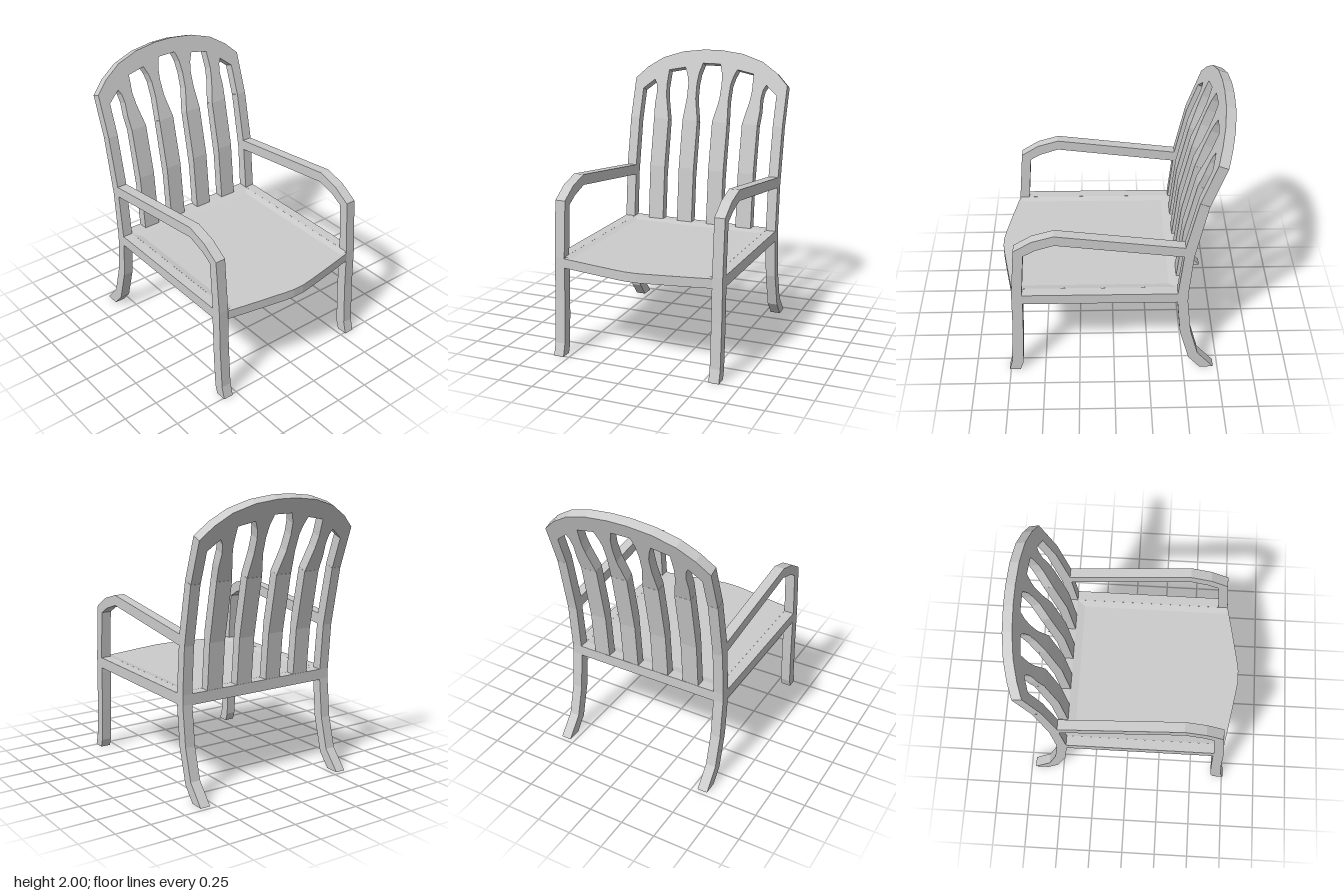
import * as THREE from 'three';

const material = new THREE.MeshStandardMaterial({ color: 0xcccccc, flatShading: true });

function addMesh(group, name, geometry) {
  const mesh = new THREE.Mesh(geometry, material);
  mesh.name = name;
  group.add(mesh);
  return mesh;
}

const extrude = (points, depth) => new THREE.ExtrudeGeometry(
  new THREE.Shape(points.map(([x, y]) => new THREE.Vector2(x, y))),
  { depth, bevelEnabled: false });

// Side profile (x, y) given a thickness across z, centred on zCentre
const sideSlab = (points, width, zCentre) =>
  extrude(points, width).translate(0, 0, zCentre - width / 2);

function box(x0, x1, y0, y1, z0, z1) {
  return new THREE.BoxGeometry(x1 - x0, y1 - y0, z1 - z0)
    .translate((x0 + x1) / 2, (y0 + y1) / 2, (z0 + z1) / 2);
}

const backPost = [
  [-0.72, 0], [-0.62, 0], [-0.535, 0.1], [-0.465, 0.35], [-0.437, 0.64], [-0.437, 0.71],
  [-0.475, 1.12], [-0.55, 1.48], [-0.615, 1.455], [-0.535, 1.04], [-0.51, 0.71],
  [-0.51, 0.64], [-0.54, 0.36], [-0.6, 0.14],
];
const slat = [
  [-0.505, 0.68], [-0.437, 0.68], [-0.437, 0.71], [-0.475, 1.12],
  [-0.55, 1.48], [-0.615, 1.455], [-0.535, 1.04],
];
const armAndLeg = [
  [-0.48, 1.04], [-0.46, 1.04], [0.4, 1.15], [0.53, 1.107], [0.61, 1.06], [0.637, 0.71],
  [0.635, 0.6], [0.645, 0.3], [0.66, 0.06], [0.68, 0], [0.76, 0], [0.735, 0.09],
  [0.716, 0.4], [0.708, 0.71], [0.675, 1.1], [0.55, 1.18], [0.4, 1.225],
  [-0.475, 1.115], [-0.5, 1.11],
];

// Half of the crest's front face: scalloped lower edge with slat necks, then the arch
const crestHalf = [
  [0.07, 1.9], [0.092, 1.83], [0.1, 1.75], [0.095, 1.64], [0.06, 1.48],
  [0.18, 1.48], [0.167, 1.64], [0.17, 1.75], [0.185, 1.81], [0.21, 1.865],
  [0.34, 1.84], [0.345, 1.72], [0.335, 1.64], [0.297, 1.48],
  [0.417, 1.48], [0.424, 1.58], [0.42, 1.67], [0.43, 1.73], [0.45, 1.765],
  [0.537, 1.695], [0.537, 1.48], [0.61, 1.48],
  [0.61, 1.77], [0.52, 1.855], [0.4, 1.93], [0.24, 1.98], [0.07, 2],
];

// Flat comb-shaped plate leaned back to follow the upper posts
function crestGeometry() {
  const mirrored = crestHalf.map(([z, y]) => [-z, y]).reverse();
  const thickness = 0.07;
  const geometry = extrude([...crestHalf, ...mirrored], thickness);
  const p = geometry.attributes.position;
  for (let i = 0; i < p.count; i++) {
    const u = p.getX(i), y = p.getY(i), d = thickness - p.getZ(i);
    p.setXYZ(i, -0.55 - (y - 1.48) * 0.346 - 0.94 * d, y - 0.34 * d, -u);
  }
  geometry.computeVertexNormals();
  return geometry;
}

// Shallow sloping rim on three sides of the seat
function seatRimGeometry() {
  const outer = [[0.71, 0.537], [-0.437, 0.537], [-0.437, -0.537], [0.71, -0.537]];
  const inner = [[0.69, 0.49], [-0.38, 0.49], [-0.38, -0.49], [0.69, -0.49]];
  const positions = [], index = [];
  outer.forEach(([x, z], i) => {
    positions.push(x, 0.712, z, inner[i][0], 0.701, inner[i][1]);
    if (i < 3) {
      const a = 2 * i;
      index.push(a, a + 1, a + 2, a + 1, a + 3, a + 2);
    }
  });
  const geometry = new THREE.BufferGeometry();
  geometry.setAttribute('position', new THREE.Float32BufferAttribute(positions, 3));
  geometry.setIndex(index);
  const flat = geometry.toNonIndexed();
  flat.computeVertexNormals();
  return flat;
}

export function createModel() {
  const chair = new THREE.Group();
  chair.name = 'armchair';

  // Sides: posts, arms with front legs, and seat rails
  for (const [side, s] of [['left', 1], ['right', -1]]) {
    const z = s * 0.574;
    addMesh(chair, side + 'BackPost', sideSlab(backPost, 0.073, z));
    addMesh(chair, side + 'ArmAndFrontLeg', sideSlab(armAndLeg, 0.073, z));
    addMesh(chair, side + 'SeatRail', box(-0.46, 0.66, 0.635, 0.712, z - 0.0365, z + 0.0365));
  }

  // Back: slats and arched crest
  for (const z of [-0.357, -0.12, 0.12, 0.357]) {
    addMesh(chair, 'backSlat', sideSlab(slat, 0.12, z));
  }
  addMesh(chair, 'backCrest', crestGeometry());

  // Seat: back rail, bowed panel and sloping rim
  addMesh(chair, 'backSeatRail', box(-0.51, -0.437, 0.635, 0.712, -0.54, 0.54));
  const front = [[0.71, 0.538], [0.737, 0.4], [0.765, 0.25], [0.79, 0.11], [0.8, 0.04]];
  const seatOutline = [
    [-0.45, 0.538], ...front,
    ...front.map(([x, z]) => [x, -z]).reverse(), [-0.45, -0.538],
  ];
  const seat = extrude(seatOutline, 0.066).rotateX(-Math.PI / 2).translate(0, 0.635, 0);
  addMesh(chair, 'seatPanel', seat);
  const rim = addMesh(chair, 'seatRim', seatRimGeometry());
  rim.material = material.clone();
  rim.material.side = THREE.DoubleSide;

  return chair;
}
